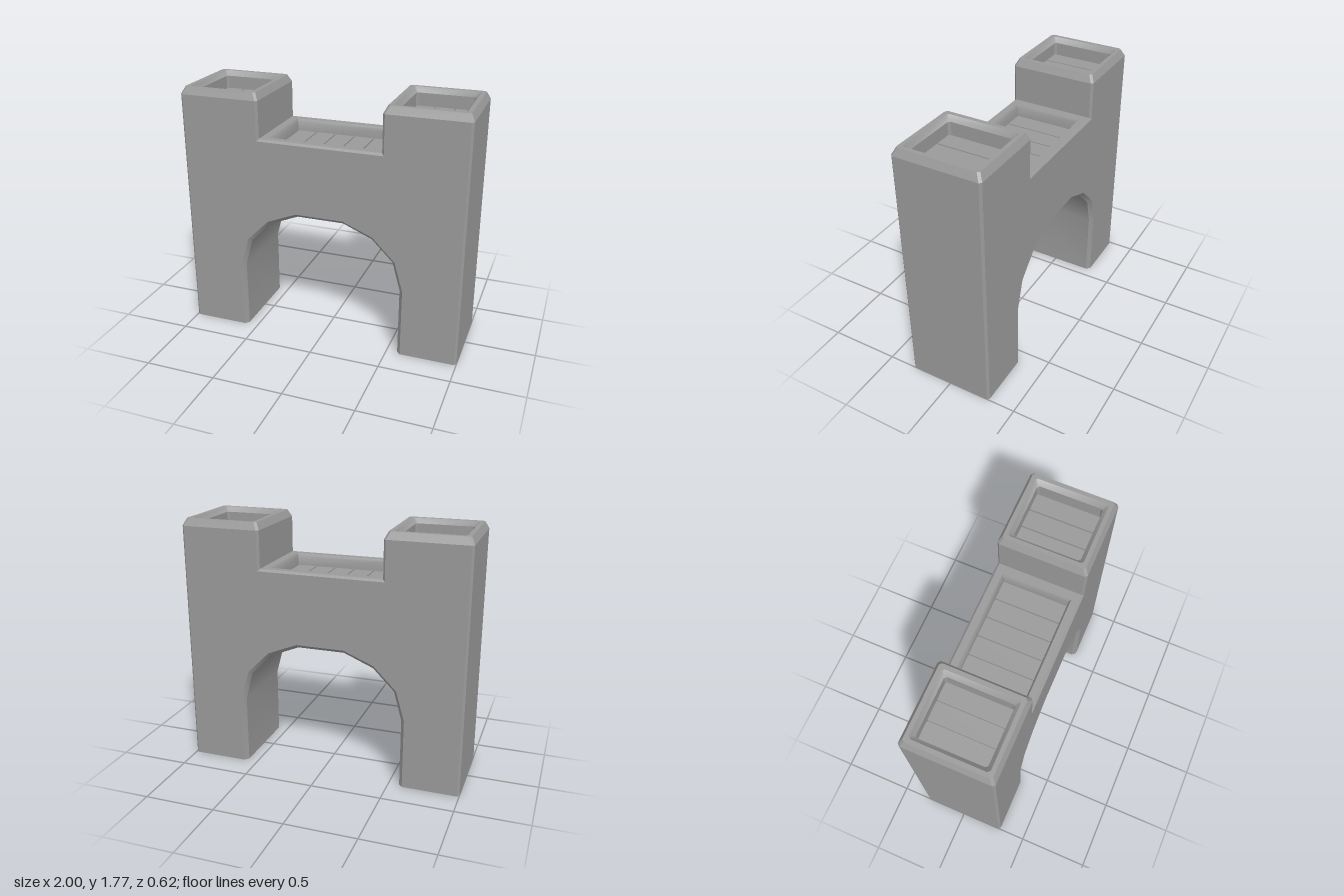
import * as THREE from 'three';
import { toCreasedNormals } from 'three/addons/utils/BufferGeometryUtils.js';

const material = new THREE.MeshStandardMaterial({ color: 0x9a9a9a, side: THREE.DoubleSide });
const Z_FACE = 0.308, Z_SIDE = 0.293, Z_ARCH = 0.28;  // flat faces and where their bevels end
const DECK_Y = 1.465, SHOULDER_Y = 1.725, TOP_Y = 1.775;

function addMesh(parent, name, geometry) {
  const mesh = new THREE.Mesh(geometry, material);
  mesh.name = name;
  parent.add(mesh);
  return mesh;
}

// Surface through rows of [x, y, z] points, with creases kept sharp
function skin(rows) {
  const n = rows[0].length, index = [];
  for (let r = 0; r < rows.length - 1; r++) {
    for (let c = 0; c < n - 1; c++) {
      const a = r * n + c, b = a + 1, d = a + n, e = d + 1;
      index.push(a, b, e, a, e, d);
    }
  }
  const g = new THREE.BufferGeometry();
  g.setAttribute('position', new THREE.Float32BufferAttribute(rows.flat(2), 3));
  g.setIndex(index);
  return toCreasedNormals(g, 0.6);
}

const atZ = (path, z) => path.map(([x, y]) => [x, y, z]);

// Rectangle with cut corners, lying flat at height y
function ring(hx, hz, y, c) {
  const p = [
    [hx, hz - c], [hx, c - hz], [hx - c, -hz], [c - hx, -hz],
    [-hx, c - hz], [-hx, hz - c], [c - hx, hz], [hx - c, hz],
  ];
  return [...p, p[0]].map(([x, z]) => [x, y, z]);
}

// Row of planks with narrow grooves over a base plate
function addPlanks(parent, hx, hz, y, count) {
  const base = addMesh(parent, 'floorBase', new THREE.PlaneGeometry(hx * 2, hz * 2).rotateX(-Math.PI / 2));
  base.position.y = y - 0.02;
  const pitch = hx * 2 / count;
  for (let i = 0; i < count; i++) {
    const plank = addMesh(parent, 'floorPlank', new THREE.BoxGeometry(pitch - 0.01, 0.02, hz * 2));
    plank.position.set(-hx + pitch * (i + 0.5), y - 0.01, 0);
  }
}

// Mirror a right-hand path to make the whole symmetrical path
const mirrored = (half) => [...half, ...half.map(([x, y]) => [-x, y]).reverse()];
const flip = (path) => path.map(([x, y]) => [-x, y]).reverse();

export function createModel() {
  const model = new THREE.Group();
  model.name = 'archedGate';

  // Outlines: on the flat faces, and where the bevels meet the sides
  const archFace = mirrored([[0.6, 0], [0.6, 0.5], [0.54, 0.71], [0.38, 0.87], [0.17, 0.955]]);
  const archSide = mirrored([[0.575, 0], [0.575, 0.49], [0.52, 0.695], [0.37, 0.845], [0.165, 0.93]]);
  const notchFace = mirrored([[0.445, SHOULDER_Y], [0.445, DECK_Y - 0.015]]).reverse();
  const notchSide = mirrored([[0.43, SHOULDER_Y], [0.43, DECK_Y]]).reverse();
  const endFace = [[0.985, SHOULDER_Y], [0.985, 0]];
  const endSide = [[1, SHOULDER_Y], [1, 0]];

  // Front and back walls
  const outline = [...notchFace, ...endFace, ...archFace, ...flip(endFace)];
  const wall = new THREE.ShapeGeometry(new THREE.Shape(outline.map(([x, y]) => new THREE.Vector2(x, y))));
  addMesh(model, 'frontWall', wall).position.z = Z_FACE;
  const back = addMesh(model, 'backWall', wall);
  back.position.z = -Z_FACE;
  back.rotation.y = Math.PI;

  // Bevelled arch lining and outer ends; the legs are open underneath
  const across = (face, side, z) => skin([
    atZ(face, Z_FACE), atZ(side, z), atZ(side, -z), atZ(face, -Z_FACE),
  ]);
  addMesh(model, 'archLining', across(archFace, archSide, Z_ARCH));
  addMesh(model, 'leftEnd', across(endFace, endSide, Z_SIDE));
  addMesh(model, 'rightEnd', across(flip(endFace), flip(endSide), Z_SIDE));

  // Bevels around the gap and the tower walls beside it
  addMesh(model, 'frontGapBevel', skin([atZ(notchFace, Z_FACE), atZ(notchSide, Z_SIDE)]));
  addMesh(model, 'backGapBevel', skin([atZ(notchSide, -Z_SIDE), atZ(notchFace, -Z_FACE)]));
  for (const [name, path] of [['rightTowerInnerWall', notchSide.slice(0, 2)], ['leftTowerInnerWall', notchSide.slice(2)]]) {
    addMesh(model, name, skin([atZ(path, Z_SIDE), atZ(path, -Z_SIDE)]));
  }

  // Sunken walkway between the towers
  const deck = new THREE.Group();
  deck.name = 'walkway';
  addMesh(deck, 'walkwayRim', skin([
    ring(0.43, Z_SIDE, DECK_Y, 0.001),
    ring(0.373, 0.245, DECK_Y, 0.001),
    ring(0.36, 0.232, DECK_Y - 0.02, 0.001),
    ring(0.36, 0.232, 1.36, 0.001),
  ]));
  addPlanks(deck, 0.36, 0.232, 1.38, 5);
  model.add(deck);

  // Tower tops with a bevelled parapet around a planked floor
  for (const side of [1, -1]) {
    const tower = new THREE.Group();
    tower.name = side > 0 ? 'leftTowerTop' : 'rightTowerTop';
    addMesh(tower, 'parapet', skin([
      ring(0.285, Z_FACE, SHOULDER_Y, 0.015),
      ring(0.26, 0.283, TOP_Y, 0.015),
      ring(0.23, 0.255, TOP_Y, 0.015),
      ring(0.2025, 0.228, TOP_Y - 0.035, 0.015),
      ring(0.2025, 0.228, 1.63, 0.015),
    ]));
    addPlanks(tower, 0.2025, 0.228, 1.65, 3);
    tower.position.x = side * 0.715;
    model.add(tower);
  }
  return model;
}
